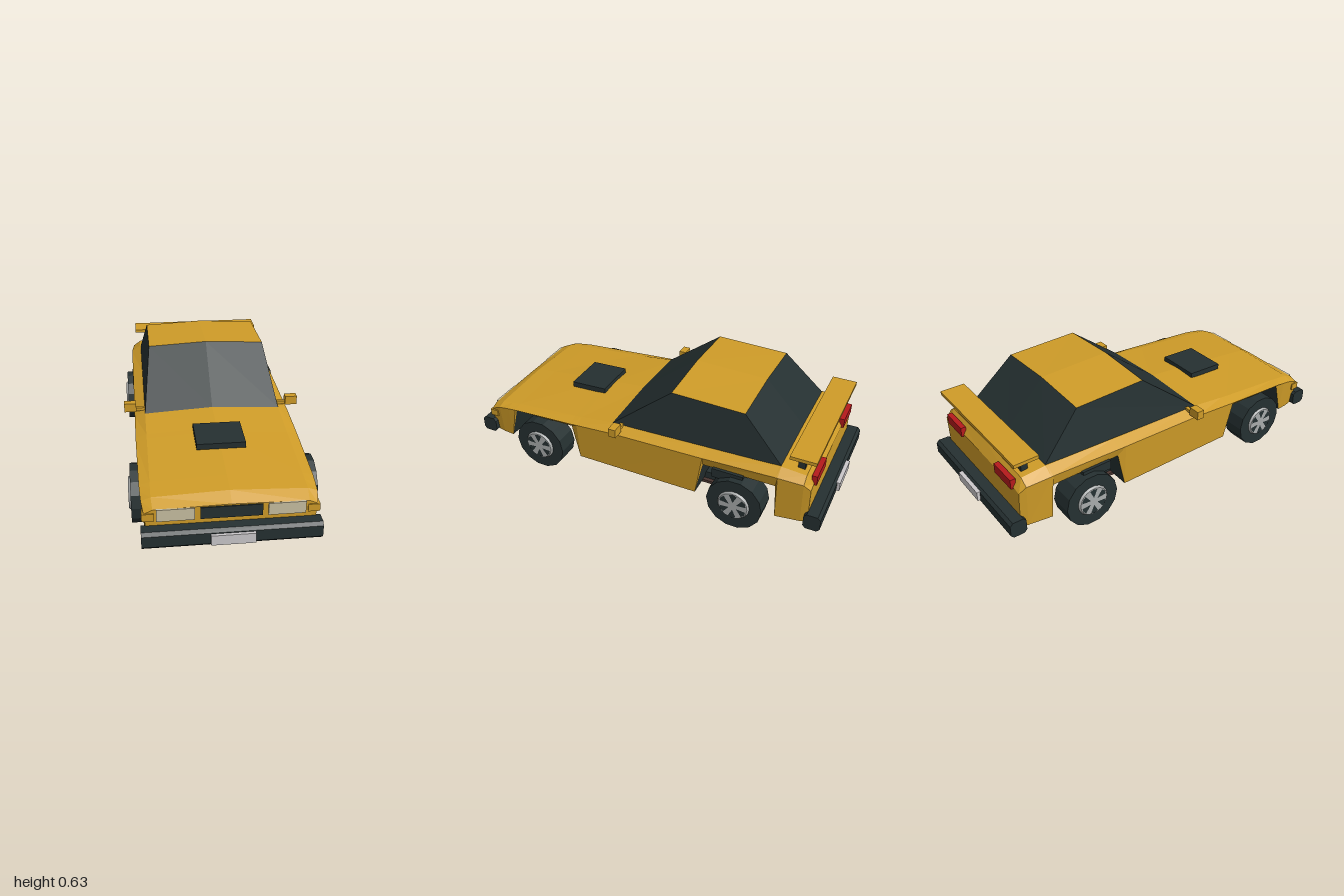
import * as THREE from 'three';

const mat = (name, color) => Object.assign(new THREE.MeshStandardMaterial({ color }), { name });

// Flat-shaded geometry from convex polygons, each a loop of [x, y, z] corners
function polygons(polys) {
  const pos = [];
  for (const p of polys)
    for (let i = 1; i < p.length - 1; i++) pos.push(...p[0], ...p[i], ...p[i + 1]);
  const g = new THREE.BufferGeometry();
  g.setAttribute('position', new THREE.Float32BufferAttribute(pos, 3));
  g.computeVertexNormals();
  return g;
}

export function createModel() {
  const car = new THREE.Group();
  car.name = 'sportsCar';
  const paint = mat('yellowPaint', 0xcf9c28);
  const dark = mat('darkTrim', 0x253031);
  const red = mat('redLens', 0xb51a1c);
  const lens = mat('headlightLens', 0xc8bfa2);
  const plate = mat('plateWhite', 0xcbc8ca);
  const metal = mat('rimGrey', 0xa8abab);
  const brown = mat('exhaustBrown', 0x4a3631);

  const add = (name, geo, material, parent = car) => {
    const m = new THREE.Mesh(geo, material);
    m.name = name;
    parent.add(m);
    return m;
  };
  // Box given by its limits
  const box = (name, material, x0, x1, y0, y1, z0, z1) => {
    const m = add(name, new THREE.BoxGeometry(x1 - x0, y1 - y0, z1 - z0), material);
    m.position.set((x0 + x1) / 2, (y0 + y1) / 2, (z0 + z1) / 2);
    return m;
  };
  const pair = (name, material, x0, x1, ...rest) => {
    box(name + 'Left', material, x0, x1, ...rest);
    box(name + 'Right', material, -x1, -x0, ...rest);
  };

  // Body shell: z, floor y, side x, side y, shoulder x, shoulder y, centre y
  const stations = [
    [0.92, 0.11, 0.39, 0.25, 0.35, 0.268, 0.275],
    [0.86, 0.107, 0.4, 0.28, 0.355, 0.296, 0.31],
    [0.8, 0.105, 0.403, 0.29, 0.355, 0.302, 0.316],
    [0.75, 0.284, 0.405, 0.296, 0.355, 0.307, 0.321],
    [0.39, 0.297, 0.41, 0.318, 0.355, 0.336, 0.358],
    [0.35, 0.105, 0.41, 0.321, 0.355, 0.34, 0.362],
    [0.14, 0.105, 0.41, 0.335, 0.355, 0.364, 0.382],
    [-0.33, 0.105, 0.41, 0.345, 0.355, 0.374, 0.388],
    [-0.37, 0.297, 0.41, 0.346, 0.355, 0.375, 0.389],
    [-0.745, 0.297, 0.41, 0.36, 0.36, 0.393, 0.4],
    [-0.755, 0.11, 0.41, 0.36, 0.36, 0.394, 0.4],
    [-0.88, 0.115, 0.397, 0.35, 0.355, 0.38, 0.387],
    [-0.915, 0.12, 0.385, 0.32, 0.345, 0.33, 0.333],
  ];
  const rings = stations.map(([z, yb, w, ys, xh, yh, yc]) => {
    const half = [[w - 0.015, yb, z], [w, ys, z], [xh, yh, z]];
    return [...half, [0, yc, z], ...half.map(([x, y]) => [-x, y, z]).reverse()];
  });
  const shell = [rings[0], [...rings[rings.length - 1]].reverse()];
  const floor = [];
  for (let i = 0; i < rings.length - 1; i++) {
    const a = rings[i], b = rings[i + 1];
    for (let j = 0; j < 7; j++) {
      const k = (j + 1) % 7;
      (j === 6 ? floor : shell).push([a[j], b[j], b[k], a[k]]);
    }
  }
  add('bodyShell', polygons(shell), paint);
  add('underside', polygons(floor), dark);

  // Cabin: glass all round with a slightly crowned roof
  const row = (x, y, yc, z) => [[x, y, z], [0, yc, z], [-x, y, z]];
  const bf = row(0.355, 0.362, 0.378, 0.16), tf = row(0.315, 0.615, 0.631, -0.16);
  const tr = row(0.315, 0.605, 0.62, -0.545), br = row(0.355, 0.392, 0.398, -0.755);
  const strip = (a, b) => [0, 1].map((i) => [a[i], b[i], b[i + 1], a[i + 1]]);
  add('windshield', polygons(strip(bf, tf)), dark);
  add('roof', polygons(strip(tf, tr)), paint);
  add('rearWindow', polygons(strip(tr, br)), dark);
  add('sideWindows', polygons([
    [bf[0], br[0], tr[0], tf[0]],
    [bf[2], tf[2], tr[2], br[2]],
  ]), dark);

  // Bumpers with chamfered edges, and number plates
  const h = 0.0425, c = 0.015;
  const profile = new THREE.Shape([[-h, -h + c], [-h + c, -h], [h - c, -h], [h, -h + c],
    [h, h - c], [h - c, h], [-h + c, h], [-h, h - c]].map((p) => new THREE.Vector2(...p)));
  for (const [name, s] of [['front', 1], ['rear', -1]]) {
    const g = new THREE.ExtrudeGeometry(profile, { depth: 0.81, bevelEnabled: false });
    g.translate(0, 0, -0.405).rotateY(Math.PI / 2);
    add(name + 'Bumper', g, dark).position.set(0, 0.145, s * 0.942);
    const p = box(name + 'Plate', plate, -0.1, 0.1, 0.118, 0.168, 0.98, 1);
    p.position.z *= s;
    if (s < 0) p.position.y = 0.153;
  }

  // Front lights and grille
  box('grille', dark, -0.14, 0.14, 0.21, 0.268, 0.9, 0.926);
  pair('headlight', lens, 0.165, 0.335, 0.21, 0.27, 0.9, 0.928);
  pair('indicator', paint, 0.345, 0.4, 0.213, 0.25, 0.88, 0.925);

  // Tail lights, mirrors, hood scoop
  pair('tailLight', red, 0.175, 0.335, 0.32, 0.372, -0.927, -0.9);
  pair('mirror', paint, 0.4, 0.463, 0.358, 0.405, 0.085, 0.125);
  pair('mirrorArm', paint, 0.35, 0.41, 0.358, 0.375, 0.095, 0.115);
  box('hoodScoop', dark, -0.12, 0.12, 0.348, 0.378, 0.34, 0.545).rotation.x = 0.04;

  // Rear spoiler
  box('spoilerWing', paint, -0.383, 0.383, 0.468, 0.486, -0.925, -0.795);
  pair('spoilerPost', dark, 0.29, 0.32, 0.37, 0.468, -0.86, -0.825);

  // Rear suspension blocks and exhaust frames beneath
  pair('suspensionBlock', dark, 0.3, 0.413, 0.255, 0.305, -0.585, -0.425);
  for (const s of [-1, 1]) {
    const ring = new THREE.Shape([[-0.11, -0.105], [0.11, -0.105], [0.11, 0.105], [-0.11, 0.105]]
      .map((p) => new THREE.Vector2(...p)));
    ring.holes.push(new THREE.Path([[-0.09, -0.085], [-0.09, 0.085], [0.09, 0.085], [0.09, -0.085]]
      .map((p) => new THREE.Vector2(...p))));
    const g = new THREE.ExtrudeGeometry(ring, { depth: 0.016, bevelEnabled: false });
    g.rotateX(-Math.PI / 2);
    add('exhaustFrame', g, brown).position.set(s * 0.18, 0.092, -0.315);
    box('exhaustBox', dark, s * 0.18 - 0.09, s * 0.18 + 0.09, 0.104, 0.148, -0.415, -0.33);
  }

  // Wheels: faceted tyre, grey rim with six dark openings
  const tyre = new THREE.CylinderGeometry(0.145, 0.145, 0.12, 14).toNonIndexed();
  tyre.computeVertexNormals();
  tyre.rotateZ(-Math.PI / 2);
  const rim = new THREE.CylinderGeometry(0.076, 0.084, 0.012, 18);
  rim.rotateZ(-Math.PI / 2);
  const openings = [];
  for (let i = 0; i < 6; i++) {
    const at = (r, t) => [0, r * Math.cos(t), r * Math.sin(t)];
    const t = (i * Math.PI) / 3;
    openings.push([at(0.022, t), at(0.07, t - 0.3), at(0.073, t), at(0.07, t + 0.3)]);
  }
  const holes = polygons(openings);
  for (const [end, z] of [['front', 0.575], ['rear', -0.558]])
    for (const s of [1, -1]) {
      const wheel = new THREE.Group();
      wheel.name = end + (s > 0 ? 'LeftWheel' : 'RightWheel');
      wheel.position.set(s * 0.385, 0.145, z);
      if (s < 0) wheel.rotation.y = Math.PI;
      add('tyre', tyre, dark, wheel);
      add('rim', rim, metal, wheel).position.x = 0.065;
      add('rimOpenings', holes, dark, wheel).position.x = 0.0725;
      car.add(wheel);
    }
  return car;
}
